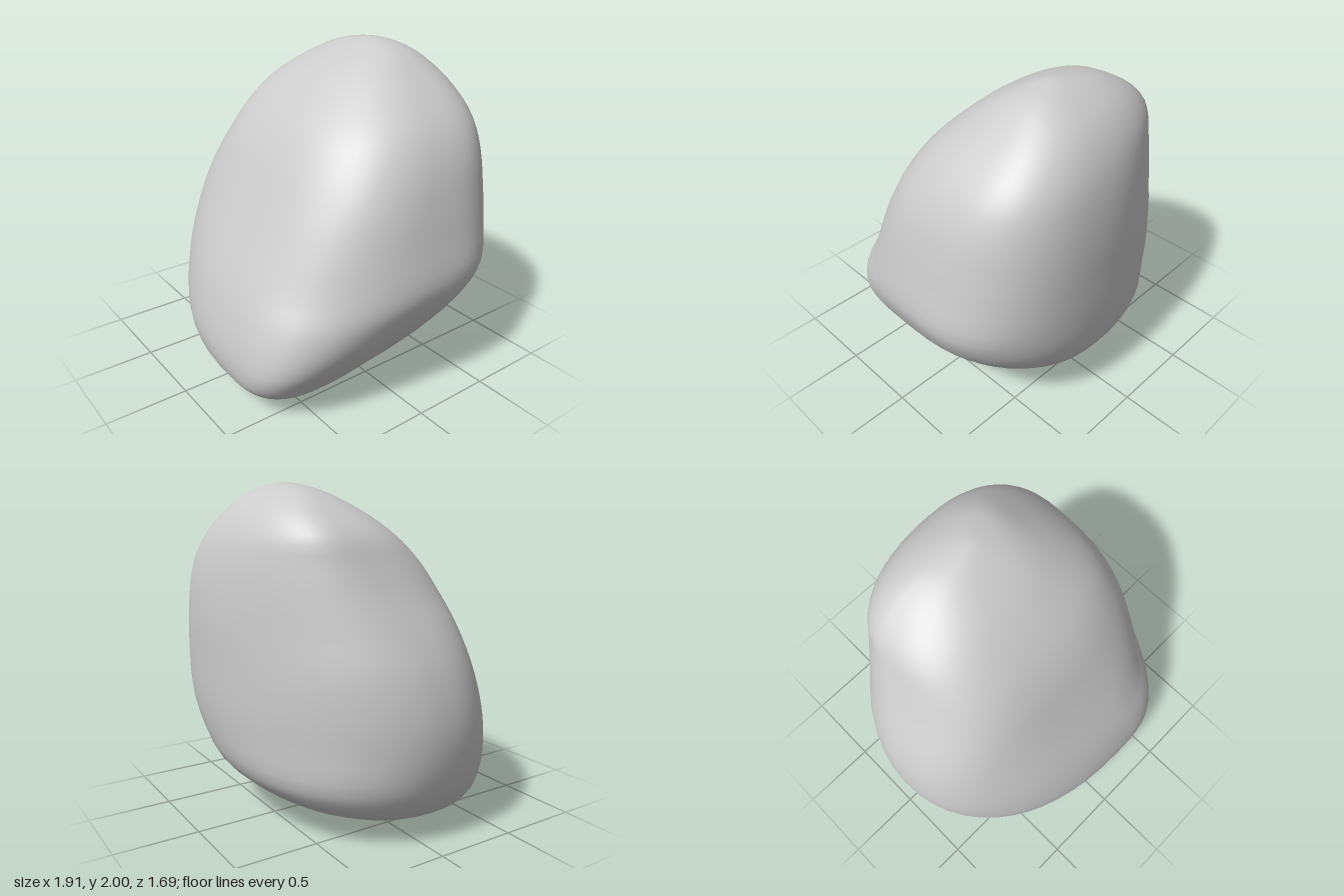
import * as THREE from 'three';

// Horizontal slices of the boulder, bottom to top:
// y, left x, its z, right x, its z, back z, its x, front z, its x
const SLICES = [
  [0.02, 0.04, 0.42, 0.42, 0.42, 0.20, 0.27, 0.63, 0.28],
  [0.07, -0.45, 0.25, 0.53, 0.40, -0.10, 0.10, 0.73, 0.25],
  [0.13, -0.76, 0.10, 0.60, 0.38, -0.45, 0.00, 0.79, 0.25],
  [0.20, -0.84, 0.08, 0.66, 0.36, -0.60, 0.00, 0.835, 0.25],
  [0.35, -0.91, 0.05, 0.77, 0.20, -0.76, 0.05, 0.845, 0.25],
  [0.58, -0.955, 0.03, 0.89, -0.10, -0.82, 0.12, 0.79, 0.24],
  [0.77, -0.955, 0.00, 0.95, -0.25, -0.84, 0.15, 0.715, 0.20],
  [1.00, -0.91, -0.05, 0.915, -0.26, -0.845, 0.18, 0.60, 0.12],
  [1.20, -0.83, -0.10, 0.875, -0.26, -0.845, 0.18, 0.50, 0.04],
  [1.40, -0.73, -0.20, 0.82, -0.30, -0.83, 0.18, 0.40, -0.03],
  [1.57, -0.655, -0.28, 0.735, -0.35, -0.80, 0.16, 0.285, -0.05],
  [1.72, -0.585, -0.36, 0.60, -0.38, -0.745, 0.12, 0.14, -0.05],
  [1.85, -0.43, -0.40, 0.44, -0.39, -0.655, 0.08, -0.02, -0.01],
  [1.95, -0.23, -0.38, 0.29, -0.38, -0.52, 0.07, -0.20, 0.03],
  [1.99, -0.02, -0.35, 0.14, -0.35, -0.41, 0.07, -0.295, 0.06],
];
// Squareness of the corners by height:
// y, front right, front left, back left, back right
const CORNERS = [
  [0.0, 2.2, 2.1, 2.1, 1.9],
  [0.2, 3.2, 2.2, 2.25, 2.0],
  [0.38, 3.5, 2.25, 2.2, 2.4],
  [0.58, 2.9, 2.3, 2.0, 2.5],
  [0.77, 2.4, 2.4, 1.95, 2.35],
  [1.2, 2.8, 2.8, 1.95, 2.45],
  [1.6, 2.8, 2.9, 2.05, 2.5],
  [2.0, 2.4, 2.4, 2.2, 2.3],
];
const BOTTOM = new THREE.Vector3(0.28, 0, 0.43);
const TOP = new THREE.Vector3(0.07, 2, -0.34);
const SIDES = 56, ROWS = 48;

function squareness(y, column) {
  const k = CORNERS.findIndex((row) => row[0] >= y);
  const low = CORNERS[k - 1], high = CORNERS[k];
  return THREE.MathUtils.mapLinear(y, low[0], high[0], low[column], high[column]);
}

// Point on a slice: four superellipse quarters joined at the extreme points
function slicePoint([y, xl, zl, xr, zr, zb, xb, zf, xf], angle) {
  const c = Math.cos(angle), s = Math.sin(angle);
  const right = c >= 0, front = s >= 0;
  const n = squareness(y, front ? (right ? 1 : 2) : (right ? 4 : 3));
  const cx = front ? xf : xb, cz = right ? zr : zl;
  const u = Math.pow(Math.abs(c), 2 / n), v = Math.pow(Math.abs(s), 2 / n);
  return new THREE.Vector3(
    cx + ((right ? xr : xl) - cx) * u,
    y,
    cz + ((front ? zf : zb) - cz) * v
  );
}

function boulderGeometry() {
  const positions = [...BOTTOM.toArray()], index = [];
  // One smooth vertical curve per side, from the bottom pole to the top pole
  for (let i = 0; i < SIDES; i++) {
    const angle = (i / SIDES) * Math.PI * 2;
    const curve = new THREE.CatmullRomCurve3(
      [BOTTOM, ...SLICES.map((slice) => slicePoint(slice, angle)), TOP], false, 'centripetal');
    for (let j = 1; j < ROWS; j++) {
      const p = curve.getPoint(j / ROWS);
      positions.push(p.x, THREE.MathUtils.clamp(p.y, 0, 2), p.z);
    }
  }
  positions.push(...TOP.toArray());

  const topIndex = positions.length / 3 - 1;
  const at = (i, j) => j === 0 ? 0 : j === ROWS ? topIndex : 1 + (i % SIDES) * (ROWS - 1) + j - 1;
  for (let i = 0; i < SIDES; i++) {
    for (let j = 0; j < ROWS; j++) {
      const a = at(i, j), b = at(i + 1, j), c = at(i + 1, j + 1), d = at(i, j + 1);
      if (j > 0) index.push(a, d, b);
      if (j < ROWS - 1) index.push(b, d, c);
    }
  }

  const geometry = new THREE.BufferGeometry();
  geometry.setAttribute('position', new THREE.Float32BufferAttribute(positions, 3));
  geometry.setIndex(index);
  geometry.computeVertexNormals();
  return geometry;
}

export function createModel() {
  const group = new THREE.Group();
  group.name = 'rock';
  const boulder = new THREE.Mesh(
    boulderGeometry(), new THREE.MeshStandardMaterial({ color: 0xcccccc }));
  boulder.name = 'boulder';
  group.add(boulder);
  return group;
}
